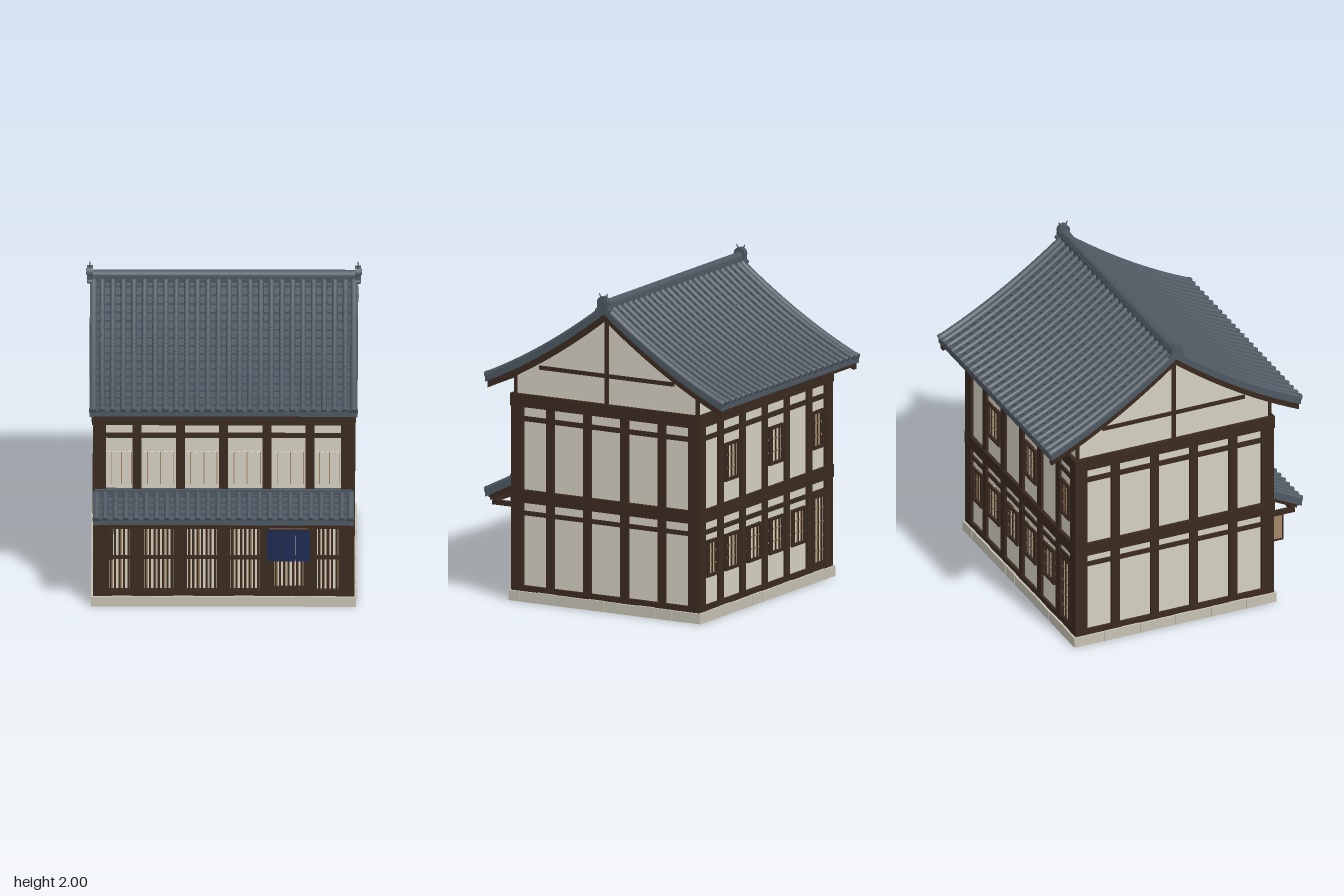
import * as THREE from 'three';
import { mergeGeometries } from 'three/addons/utils/BufferGeometryUtils.js';

const mat = (name, color) => {
  const m = new THREE.MeshStandardMaterial({ color });
  m.name = name;
  return m;
};

// Box from its limits: x, y, z
const box = (x0, x1, y0, y1, z0, z1) =>
  new THREE.BoxGeometry(x1 - x0, y1 - y0, z1 - z0).translate((x0 + x1) / 2, (y0 + y1) / 2, (z0 + z1) / 2);

// Profile of [z, y] points stretched along x
function prism(points, x0, x1) {
  const shape = new THREE.Shape(points.map(p => new THREE.Vector2(p[0], p[1])));
  return new THREE.ExtrudeGeometry(shape, { depth: x1 - x0, bevelEnabled: false }).rotateY(-Math.PI / 2).translate(x1, 0, 0);
}

// Cylinder between two points of a plane of constant x
function rod(x, a, b, r0, r1 = r0, sides = 8) {
  const dz = b[0] - a[0], dy = b[1] - a[1];
  return new THREE.CylinderGeometry(r1, r0, Math.hypot(dz, dy), sides)
    .rotateX(Math.atan2(dz, dy)).translate(x, (a[1] + b[1]) / 2, (a[0] + b[0]) / 2);
}
const rodX = (x0, x1, y, z, r, sides = 12) =>
  new THREE.CylinderGeometry(r, r, x1 - x0, sides).rotateZ(Math.PI / 2).translate((x0 + x1) / 2, y, z);

// Layer following a curve from d0 to d1, between two height offsets
function layer(f, d0, d1, low, high, x0, x1, n = 12) {
  const top = [], bottom = [];
  for (let i = 0; i <= n; i++) {
    const d = d0 + (d1 - d0) * i / n;
    top.push([d, f(d) + high]);
    bottom.unshift([d, f(d) + low]);
  }
  return prism([...top, ...bottom], x0, x1);
}

// Stepped pan tiles with round cover tiles down a slope, and smooth verge tiles at both ends
function tiles(f, d0, d1, rows, half, ribs, r) {
  const at = i => d0 + (d1 - d0) * i / rows;
  const saw = [];
  for (let i = 0; i < rows; i++) {
    saw.push([at(i), f(at(i)) - 0.032], [at(i + 1), f(at(i + 1)) - 0.019]);
  }
  for (let i = rows; i >= 0; i--) saw.push([at(i), f(at(i)) - 0.058]);
  const out = [prism(saw, -half + 0.01, half - 0.01)];
  const rib = (x, rad, taper) => {
    for (let i = 0; i < rows; i++) {
      out.push(rod(x, [at(i), f(at(i)) - rad], [at(i + 1), f(at(i + 1)) - rad], rad * taper, rad));
    }
    const y = f(d1) - rad;
    out.push(rod(x, [d1 - 0.015, y + 0.006], [d1 + 0.003, y - 0.003], rad * 1.12, rad * 1.12, 10));
  };
  for (let i = 0; i < ribs; i++) rib((i / (ribs - 1) - 0.5) * 2 * (half - 0.075), r, 0.94);
  for (const s of [-1, 1]) {
    rib(s * (half - 0.022), r * 1.3, 1);
    out.push(layer(f, d0, d1, -0.062, -0.014, s * (half - 0.015) - 0.015, s * (half - 0.015) + 0.015));
  }
  return out;
}

export function createModel() {
  const wood = mat('dark timber', 0x3a2a1f), plaster = mat('plaster', 0xd6d0c2), slate = mat('roof tile', 0x4e5862);
  const stone = mat('foundation stone', 0xc6c2b3), navy = mat('navy cloth', 0x1e2a52), tan = mat('light wood', 0xa38767);
  const paper = mat('window paper', 0xd9d2c0), iron = mat('iron', 0x2b2e31), shade = mat('floor underside', 0x2c2119);
  const model = new THREE.Group(), house = new THREE.Group();
  model.add(house);
  house.position.z = -0.008;
  const part = (name, material, geos, turn = 0) => {
    const m = new THREE.Mesh(mergeGeometries(geos.map(q => (q.index ? q.toNonIndexed() : q))), material);
    m.name = name;
    m.rotation.y = turn;
    house.add(m);
  };

  // Foundation: inner ring and outer stones
  const ring = [], stones = [];
  for (const s of [-1, 1]) {
    const zr = [s * 0.59, s * 0.68].sort((a, b) => a - b), xr = [s * 0.72, s * 0.809].sort((a, b) => a - b);
    ring.push(box(-0.809, 0.809, 0, 0.062, ...zr), box(...xr, 0, 0.062, -0.59, 0.59));
    for (let i = 0; i < 13; i++) {
      const w = 1.624 / 13, x = -0.812 + i * w, h = 0.064 + (i * 5 % 3) * 0.002;
      stones.push(box(x + 0.001, x + w - 0.001, 0, h, s * 0.645 - 0.038, s * 0.645 + 0.038));
    }
    for (let i = 0; i < 10; i++) {
      const w = 1.2 / 10, z = -0.6 + i * w, h = 0.064 + (i * 7 % 3) * 0.002;
      stones.push(box(s * 0.772 - 0.04, s * 0.772 + 0.04, 0, h, z + 0.001, z + w - 0.001));
    }
  }
  part('foundationCore', stone, ring);
  part('foundationStones', stone, stones);

  // Floors and dark inner lining
  part('groundFloor', shade, [box(-0.74, 0.3, 0.15, 0.19, -0.61, 0.6)]);
  part('floorEdge', tan, [box(0.3, 0.31, 0.15, 0.19, -0.61, 0.6)]);
  part('upperFloor', wood, [box(-0.75, 0.75, 0.62, 0.66, -0.61, 0.6)]);
  part('innerLining', wood, [box(-0.75, 0.75, 0.062, 0.62, -0.625, -0.61), box(-0.75, 0.75, 0.062, 0.62, 0.6, 0.612),
    box(-0.752, -0.738, 0.062, 0.62, -0.61, 0.6), box(0.738, 0.752, 0.062, 0.62, -0.61, 0.6)]);

  // Plaster walls
  part('walls', plaster, [
    box(-0.78, 0.78, 0.06, 1.42, -0.652, -0.625), box(-0.78, 0.78, 0.55, 1.42, 0.625, 0.652),
    box(-0.78, -0.752, 0.06, 1.31, -0.625, 0.625), box(0.752, 0.78, 0.06, 1.31, -0.625, 0.625)]);

  // Corner posts
  const corners = [];
  for (const sx of [-1, 1]) for (const sz of [-1, 1]) {
    corners.push(box(sx * 0.76 - 0.041, sx * 0.76 + 0.041, 0.065, 1.3, sz * 0.63 - 0.041, sz * 0.63 + 0.041));
  }
  part('cornerPosts', wood, corners);

  // Timber frame of each wall, built facing +z and turned into place
  const longPosts = [-0.53, -0.265, 0, 0.265, 0.53], sidePosts = [-0.397, -0.132, 0.132, 0.397];
  const frame = (name, posts, half, w, turn) => {
    const g = posts.map(u => box(u - 0.027, u + 0.027, 0.065, 1.28, w - 0.03, w - 0.002));
    for (const [y0, y1, out] of [[0.065, 0.1, 0], [0.54, 0.567, -0.006], [0.62, 0.7, 0.004], [1.13, 1.16, -0.006], [1.22, 1.3, 0.005]]) {
      g.push(box(-half - out, half + out, y0, y1, w - 0.04, w + out));
    }
    part(name, wood, g, turn);
  };
  frame('frontFrame', longPosts, 0.8, 0.67, 0);
  frame('backFrame', longPosts, 0.8, 0.67, Math.PI);
  frame('leftFrame', sidePosts, 0.67, 0.8, Math.PI / 2);
  frame('rightFrame', sidePosts, 0.67, 0.8, -Math.PI / 2);

  // Front lattice screens over paper panels, and slotted upper windows
  const edges = [-0.745, ...longPosts, 0.745];
  const bars = [], panels = [], strips = [], slats = [], slots = [];
  for (let i = 0; i < 6; i++) {
    const a = edges[i] + 0.026, b = edges[i + 1] - 0.026, n = i % 5 ? 7 : 5, door = i === 4;
    panels.push(box(a, b, 0.09, 0.55, 0.615, 0.622));
    bars.push(box(a, a + 0.016, 0.09, 0.55, 0.622, 0.662), box(b - 0.016, b, 0.09, 0.55, 0.622, 0.662));
    bars.push(box(a, b, 0.31, 0.326, 0.635, 0.662), box(a, b, 0.515, 0.545, 0.625, 0.664));
    if (door) bars.push(box(a, b, 0.09, 0.115, 0.625, 0.662));
    for (let k = 1; k <= n; k++) {
      const x = a + (b - a) * k / (n + 1);
      bars.push(box(x - 0.0065, x + 0.0065, 0.09, 0.53, 0.636, 0.658));
      if (k % 2) strips.push(box(x + 0.006, x + 0.014, 0.09, 0.53, 0.622, 0.627));
    }
    for (let k = 0; k < 5; k++) {
      const x = (a + b) / 2 + (k - 2) * (b - a) * 0.19;
      slats.push(box(x - 0.009, x + 0.009, 0.81, 1.035, 0.65, 0.667));
      if (k % 2 === 0) slots.push(box(x + 0.009, x + 0.014, 0.815, 1.03, 0.652, 0.655));
    }
  }
  part('frontLattice', wood, bars);
  part('frontPaper', paper, panels);
  part('innerScreenFrames', tan, strips);
  part('upperWindowBars', plaster, slats);
  part('upperWindowSlots', tan, slots);

  // Back windows and door
  const wFrame = [], wPaper = [], wGrid = [];
  const opening = (x, y0, y1, w, cols, rows) => {
    const l = x - w / 2, r = x + w / 2, z = -0.652;
    wPaper.push(box(l, r, y0, y1, z - 0.004, z));
    for (const [x0, x1, p, q] of [[l, l + 0.018, y0, y1], [r - 0.018, r, y0, y1], [l, r, y0, y0 + 0.018], [l, r, y1 - 0.018, y1]]) {
      wFrame.push(box(x0, x1, p, q, z - 0.02, z));
    }
    for (let i = 1; i < cols; i++) {
      const u = l + w * i / cols;
      wFrame.push(box(u - 0.0035, u + 0.0035, y0, y1, z - 0.012, z));
      wGrid.push(box(u - 0.009, u + 0.009, y0, y1, z - 0.006, z));
    }
    for (let i = 1; i < rows; i++) {
      const y = y0 + (y1 - y0) * i / rows;
      wGrid.push(box(l, r, y - 0.005, y + 0.005, z - 0.009, z));
    }
  };
  for (const x of [0.398, -0.132, -0.632]) opening(x, 0.83, 1.07, x < -0.6 ? 0.14 : 0.17, 4, 3);
  for (const x of [0.632, 0.398, 0.132, -0.132, -0.398]) opening(x, 0.27, 0.5, x > 0.6 ? 0.14 : 0.17, 4, 3);
  opening(-0.638, 0.1, 0.54, 0.16, 4, 5);
  part('backWindowFrames', wood, wFrame);
  part('backWindowPaper', paper, wPaper);
  part('backWindowGrid', tan, wGrid);

  // Main roof
  const roof = d => 1.931 - 0.78 * d + 0.2 * d * d;
  const slope = tiles(roof, 0.0, 0.844, 17, 0.82, 24, 0.018);
  const deck = [layer(roof, 0, 0.83, -0.08, -0.056, -0.8, 0.8)];
  for (const s of [-1, 1]) deck.push(layer(roof, 0, 0.834, -0.104, -0.058, s * 0.79 - 0.02, s * 0.79 + 0.02));
  deck.push(box(-0.8, 0.8, 1.332, 1.365, 0.8, 0.828));
  for (const [side, turn] of [['front', 0], ['back', Math.PI]]) {
    part(side + 'RoofTiles', slate, slope, turn);
    part(side + 'RoofBoards', wood, deck, turn);
  }

  // Gables
  const outline = [[-0.65, 1.3], [0.65, 1.3]];
  for (let i = 12; i >= -12; i--) outline.push([i / 12 * 0.65, roof(Math.abs(i / 12 * 0.65)) - 0.085]);
  const gables = [], gableTimber = [];
  for (const s of [-1, 1]) {
    const x0 = s * 0.765 - 0.014, x1 = s * 0.765 + 0.014, t0 = s * 0.78 - 0.008, t1 = s * 0.78 + 0.008;
    gables.push(prism(outline, x0, x1));
    gableTimber.push(box(t0, t1, 1.3, 1.85, -0.013, 0.013), box(t0, t1, 1.463, 1.488, -0.48, 0.48));
    for (const z of [-0.648, 0.648]) gableTimber.push(box(t0, t1, 1.3, 1.41, z - 0.011, z + 0.011));
  }
  part('gableWalls', plaster, gables);
  part('gableTimbers', wood, gableTimber);

  // Ridge with end ornaments
  const ridge = [box(-0.81, 0.81, 1.87, 1.925, -0.032, 0.032), rodX(-0.82, 0.82, 1.928, 0, 0.028)];
  for (const s of [-1, 1]) {
    ridge.push(rodX(s * 0.82 - 0.018, s * 0.82 + 0.018, 1.945, 0, 0.038, 16));
    ridge.push(rodX(s * 0.838 - 0.006, s * 0.838 + 0.006, 1.945, 0, 0.02, 12));
    ridge.push(box(s * 0.82 - 0.018, s * 0.82 + 0.018, 1.885, 1.93, -0.036, 0.036));
    for (const t of [-1, 1]) {
      ridge.push(rodX(s * 0.82 - 0.015, s * 0.82 + 0.015, 1.895, t * 0.038, 0.014, 10));
      ridge.push(rod(s * 0.822, [t * 0.012, 1.965], [t * 0.03, 2.0], 0.007, 0.003, 6));
    }
  }
  part('ridge', slate, ridge);

  // Lower roof over the street front
  const pent = d => 0.785 - 0.5 * (d - 0.665);
  part('lowerRoofTiles', slate, [...tiles(pent, 0.65, 0.858, 5, 0.8, 24, 0.017), box(-0.79, 0.79, 0.755, 0.787, 0.65, 0.685)]);
  const under = [layer(pent, 0.655, 0.843, -0.075, -0.056, -0.785, 0.785, 2), box(-0.78, 0.78, 0.598, 0.63, 0.79, 0.815)];
  for (const x of [-0.76, ...longPosts, 0.76]) {
    under.push(box(x - 0.013, x + 0.013, 0.578, 0.607, 0.66, 0.825), layer(pent, 0.66, 0.838, -0.095, -0.07, x - 0.012, x + 0.012, 2));
  }
  part('lowerRoofTimbers', wood, under);

  // Split door curtain on its rod
  const cloth = [];
  for (const [a, b] of [[0.265, 0.348], [0.351, 0.436], [0.439, 0.53]]) cloth.push(box(a, b, 0.305, 0.515, 0.674, 0.679));
  part('doorCurtain', navy, [...cloth, box(0.265, 0.53, 0.48, 0.517, 0.6735, 0.6795)]);
  part('curtainRod', wood, [rodX(0.25, 0.545, 0.52, 0.677, 0.007, 8)]);

  // Hanging sign board
  part('signBoard', tan, [box(-0.7, -0.68, 0.37, 0.54, 0.7, 0.773)]);
  part('signFrame', wood, [box(-0.705, -0.675, 0.535, 0.548, 0.693, 0.78), box(-0.703, -0.677, 0.36, 0.372, 0.693, 0.78),
    box(-0.703, -0.677, 0.36, 0.54, 0.693, 0.702), box(-0.703, -0.677, 0.36, 0.54, 0.771, 0.78)]);
  part('signBracket', iron, [rod(-0.69, [0.66, 0.565], [0.79, 0.565], 0.005), rod(-0.69, [0.67, 0.5], [0.695, 0.563], 0.004),
    rod(-0.69, [0.715, 0.545], [0.715, 0.565], 0.004), rod(-0.69, [0.76, 0.545], [0.76, 0.565], 0.004),
    box(-0.7, -0.68, 0.47, 0.58, 0.668, 0.676)]);
  return model;
}
